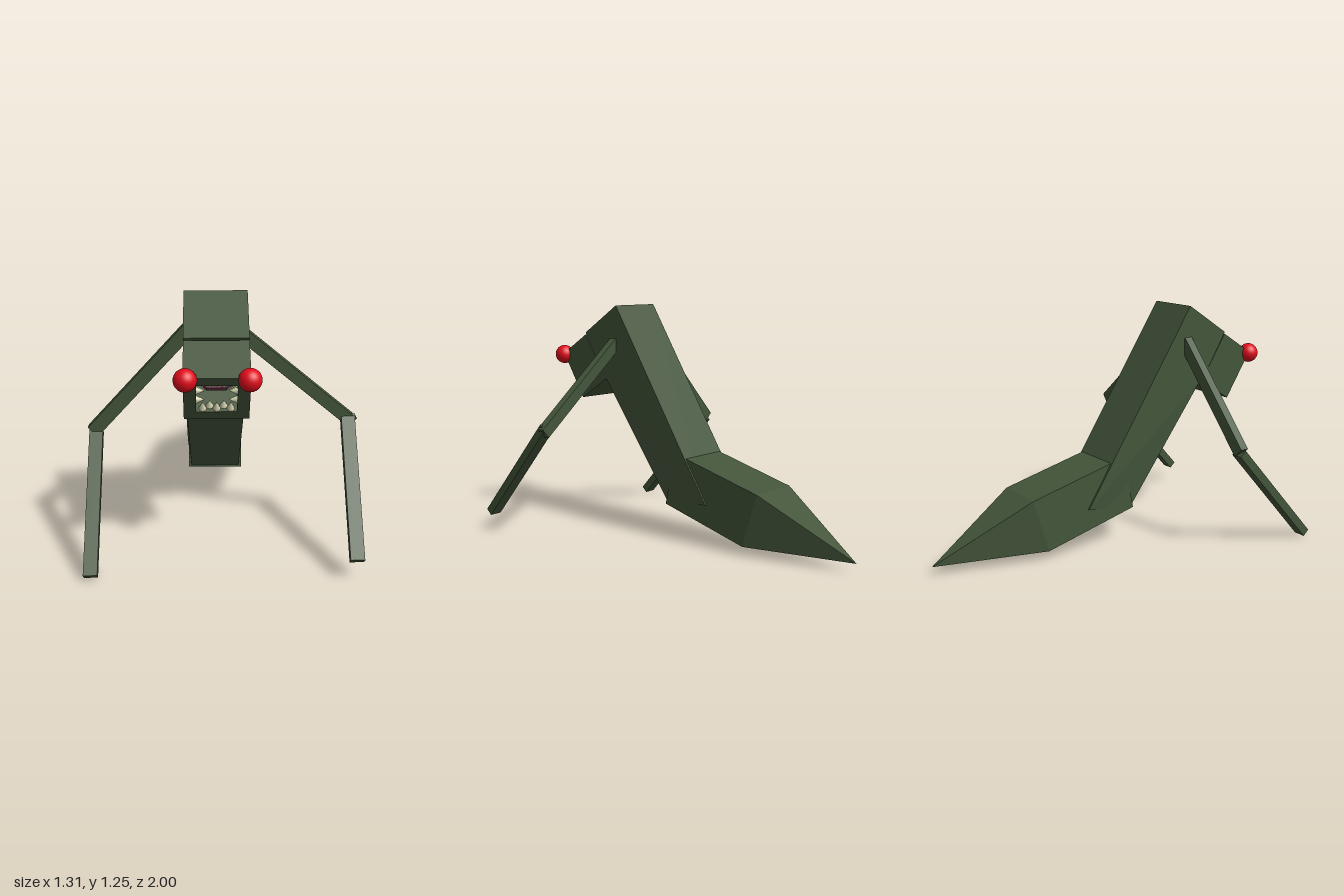
import * as THREE from 'three';
import { ConvexGeometry } from 'three/addons/geometries/ConvexGeometry.js';

const CX = -0.03; // the body sits slightly off centre between the arms
const mat = (color, flat = true) => new THREE.MeshStandardMaterial({ color, flatShading: flat });

export function createModel() {
  const model = new THREE.Group();
  const skin = mat(0x43553a);
  const ivory = mat(0xd8d8b4, false);

  const add = (parent, name, geometry, material) => {
    const mesh = new THREE.Mesh(geometry, material);
    mesh.name = name;
    parent.add(mesh);
    return mesh;
  };

  // Convex block from side-profile points [z, y, halfWidth]
  const block = (name, profile) => {
    const pts = [];
    for (const [z, y, w] of profile) {
      pts.push(new THREE.Vector3(CX - w, y, z));
      if (w > 0) pts.push(new THREE.Vector3(CX + w, y, z));
    }
    return add(model, name, new ConvexGeometry(pts), skin);
  };

  // Body
  block('torso', [[0.48, 1.255, 0.15], [0.575, 0.86, 0.15], [0.115, 0.195, 0.127], [-0.17, 0.23, 0.15]]);
  block('tail', [[0.06, 0.48, 0.14], [0.12, 0.19, 0.14], [-0.41, 0.05, 0.14], [-0.5, 0.335, 0.14], [-1, 0.05, 0]]);
  block('skull', [[0.728, 1.096, 0.15], [0.48, 1.255, 0.15], [0.38, 0.97, 0.15], [0.574, 0.838, 0.15]]);

  // Snout: tilted down, with the mouth as a rectangular recess
  const head = new THREE.Group();
  head.name = 'head';
  head.position.set(CX, 0.845, 0.837);
  head.rotation.x = THREE.MathUtils.degToRad(32);
  model.add(head);

  const rect = (T, w, h) => {
    const s = new T();
    s.moveTo(-w, -h); s.lineTo(w, -h); s.lineTo(w, h); s.lineTo(-w, h); s.closePath();
    return s;
  };
  const MW = 0.093, MH = 0.094, DEPTH = 0.22;
  const face = rect(THREE.Shape, 0.15, 0.146);
  face.holes.push(rect(THREE.Path, MW, MH));
  add(head, 'snout', new THREE.ExtrudeGeometry(face, { depth: DEPTH, bevelEnabled: false })
    .translate(0, 0, -DEPTH), skin);

  // Tongue: flat hexagon low at the back of the mouth
  const tongue = add(head, 'tongue', new THREE.CylinderGeometry(0.09, 0.09, 0.02, 6), mat(0x6b2f45));
  tongue.rotation.y = Math.PI / 6;
  const tongueHolder = new THREE.Group();
  tongueHolder.add(tongue);
  tongueHolder.scale.z = 0.65;
  tongueHolder.position.set(0, -MH + 0.04, -0.15);
  head.add(tongueHolder);

  // Teeth: cones along all four sides of the mouth, pointing inwards
  const tooth = (x, y, z, length, angle) => {
    const t = add(head, 'tooth', new THREE.ConeGeometry(0.018, length, 10).translate(0, length / 2, 0), ivory);
    t.position.set(x, y, z);
    t.rotation.z = angle;
  };
  for (let i = 0; i < 5; i++) {
    const x = -0.064 + i * 0.032, long = i % 2 === 0;
    tooth(x, -MH, long ? -0.02 : -0.035, long ? 0.05 : 0.04, 0);
    tooth(x, MH, -0.02, long ? 0.035 : 0.045, Math.PI);
  }
  for (const s of [-1, 1]) {
    for (let i = 0; i < 4; i++) tooth(s * MW, -0.035 + i * 0.032, -0.025 - (i % 2) * 0.03, 0.04, s * Math.PI / 2);
  }

  // Eyes
  for (const x of [-0.17, 0.115]) {
    add(model, 'eye', new THREE.SphereGeometry(0.053, 32, 20), mat(0xe00d1c, false)).position.set(x, 0.962, 0.917);
  }

  // Bar between two points: `w` across, `t` thick, its thickness side facing `facing`
  const bar = (name, a, b, w, t, facing) => {
    const p = new THREE.Vector3(...a), q = new THREE.Vector3(...b);
    const along = q.clone().sub(p), length = along.length();
    along.normalize();
    const side = new THREE.Vector3().crossVectors(along, facing).normalize();
    const out = new THREE.Vector3().crossVectors(side, along);
    const mesh = add(model, name, new THREE.BoxGeometry(w, length, t), skin);
    mesh.quaternion.setFromRotationMatrix(new THREE.Matrix4().makeBasis(side, along, out));
    mesh.position.copy(p).add(q).multiplyScalar(0.5);
  };

  // Arms: upper bar out to the elbow, lower bar forward and down
  const front = new THREE.Vector3(0, 0, 1), up = new THREE.Vector3(0, 1, 0);
  bar('rightUpperArm', [-0.16, 1.065, 0.467], [-0.632, 0.548, 0.467], 0.067, 0.045, front);
  bar('rightForearm', [-0.617, 0.545, 0.465], [-0.617, 0.017, 0.955], 0.066, 0.044, up);
  bar('leftUpperArm', [0.1, 1.05, 0.505], [0.636, 0.603, 0.505], 0.06, 0.045, front);
  bar('leftForearm', [0.612, 0.635, 0.5], [0.612, 0.102, 0.983], 0.066, 0.044, up);

  return model;
}
